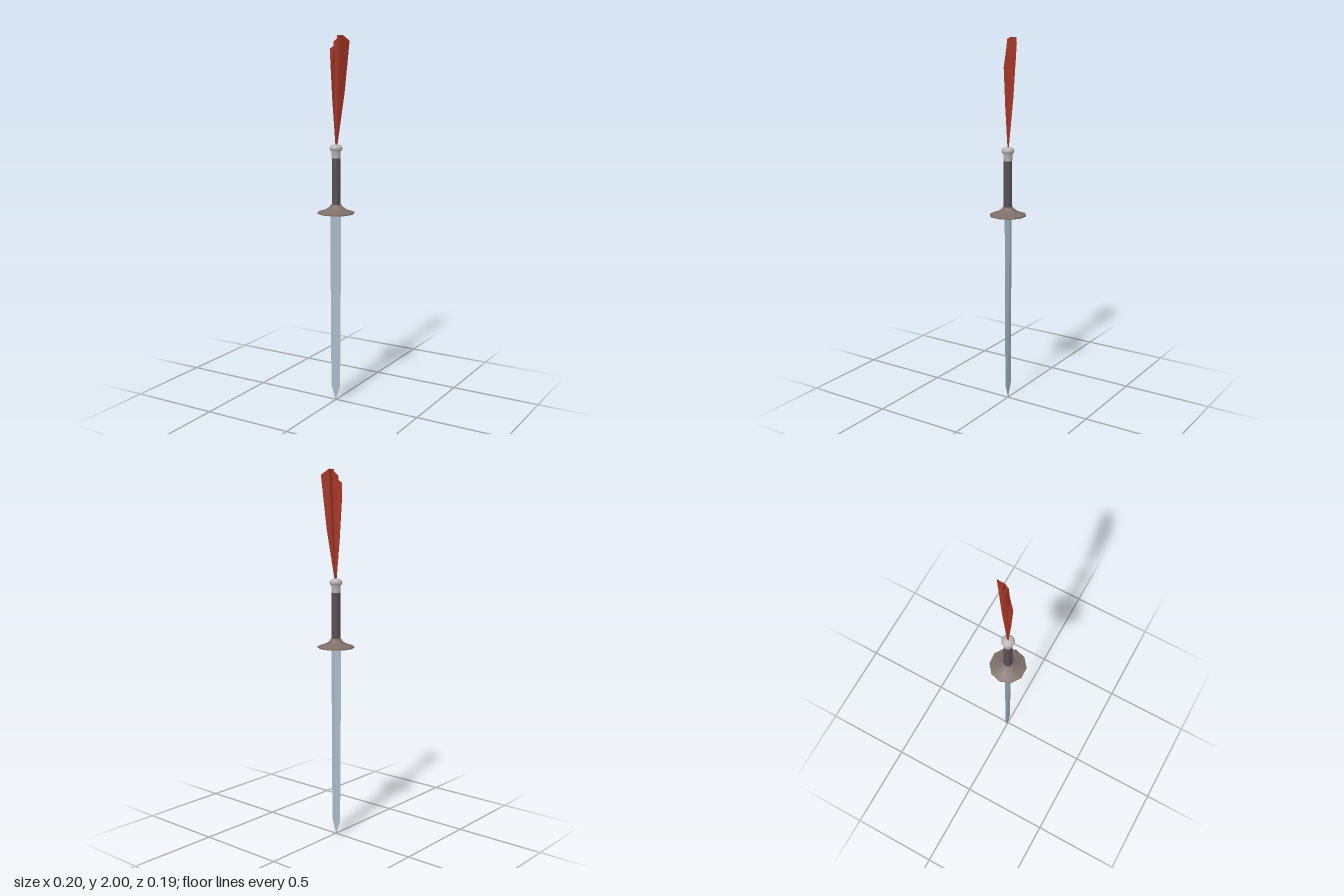
import * as THREE from 'three';

const mat = (name, color, side = THREE.FrontSide) => {
  const m = new THREE.MeshStandardMaterial({ color, side });
  m.name = name;
  return m;
};

// Smooth turned part; profile runs [radius, y] from bottom to top
function turned(name, profile, material, sides = 10) {
  const points = profile.map(([r, y]) => new THREE.Vector2(r, y));
  const mesh = new THREE.Mesh(new THREE.LatheGeometry(points, sides, THREE.MathUtils.degToRad(93)), material);
  mesh.name = name;
  return mesh;
}

// Flat-shaded skin around rings of points, ordered from bottom to top
function loft(name, rings, material) {
  const pos = [];
  const n = rings[0].length;
  for (let i = 0; i < rings.length - 1; i++) {
    for (let j = 0; j < n; j++) {
      const k = (j + 1) % n;
      const a = rings[i][j], b = rings[i][k], c = rings[i + 1][k], d = rings[i + 1][j];
      pos.push(...a, ...b, ...c, ...a, ...c, ...d);
    }
  }
  const geometry = new THREE.BufferGeometry();
  geometry.setAttribute('position', new THREE.Float32BufferAttribute(pos, 3));
  geometry.computeVertexNormals();
  const mesh = new THREE.Mesh(geometry, material);
  mesh.name = name;
  return mesh;
}

export function createModel() {
  const group = new THREE.Group();
  group.name = 'sword';
  const steel = mat('blade steel', 0xa9bbc8);
  const bronze = mat('guard bronze', 0x7d6f67);
  const leather = mat('grip leather', 0x595052);
  const silver = mat('pommel silver', 0xb8b5b2);
  const red = mat('tassel red', 0xa63725, THREE.DoubleSide);

  // Diamond-section blade: [y, half width, half thickness], thinning to the point
  const sections = [
    [0, 0.001, 0.0005], [0.08, 0.028, 0.002], [0.33, 0.03, 0.005],
    [0.65, 0.032, 0.009], [1.065, 0.034, 0.014],
  ];
  const blade = loft('blade', sections.map(([y, w, t]) =>
    [[w, y, 0], [0, y, -t], [-w, y, 0], [0, y, t]]), steel);
  blade.position.x = -0.002;
  group.add(blade);

  // Flared guard with a flat underside
  group.add(turned('guardUnderside', [[0, 1.06], [0.1, 1.06]], bronze));
  group.add(turned('guardRim', [[0.1, 1.06], [0.1, 1.066]], bronze));
  group.add(turned('guardTop', [[0.1, 1.066], [0.062, 1.078], [0.035, 1.096], [0.028, 1.108], [0.02, 1.11]], bronze));

  // Grip, then collar and pommel in one smooth profile
  group.add(turned('grip', [[0.023, 1.1], [0.023, 1.36]], leather));
  group.add(turned('pommel', [
    [0.0245, 1.358], [0.0245, 1.394], [0.032, 1.401], [0.035, 1.411], [0.032, 1.421], [0.02, 1.429], [0, 1.432],
  ], silver, 20));

  // Pleated tassel fanning out from the pommel: upper edge as [x, y, z]
  const edge = [
    [0.037, 1.97, -0.077], [0.003, 2, -0.053], [0.002, 2, -0.028],
    [0.022, 2, -0.027], [-0.01, 2, -0.026], [0.014, 1.99, -0.003],
    [-0.018, 1.965, -0.002], [0.002, 1.95, 0.008], [-0.03, 1.93, 0.014],
    [-0.012, 1.845, 0.034], [-0.002, 1.95, 0.01], [0.014, 1.99, -0.004],
    [0.023, 2, -0.028],
  ];
  const ring = (t, spread) => edge.map(([x, y, z]) =>
    [x * spread, THREE.MathUtils.lerp(1.425, y, t), z * spread]);
  group.add(loft('tassel', [ring(0, 0.1), ring(0.5, 0.63), ring(1, 1)], red));

  return group;
}
